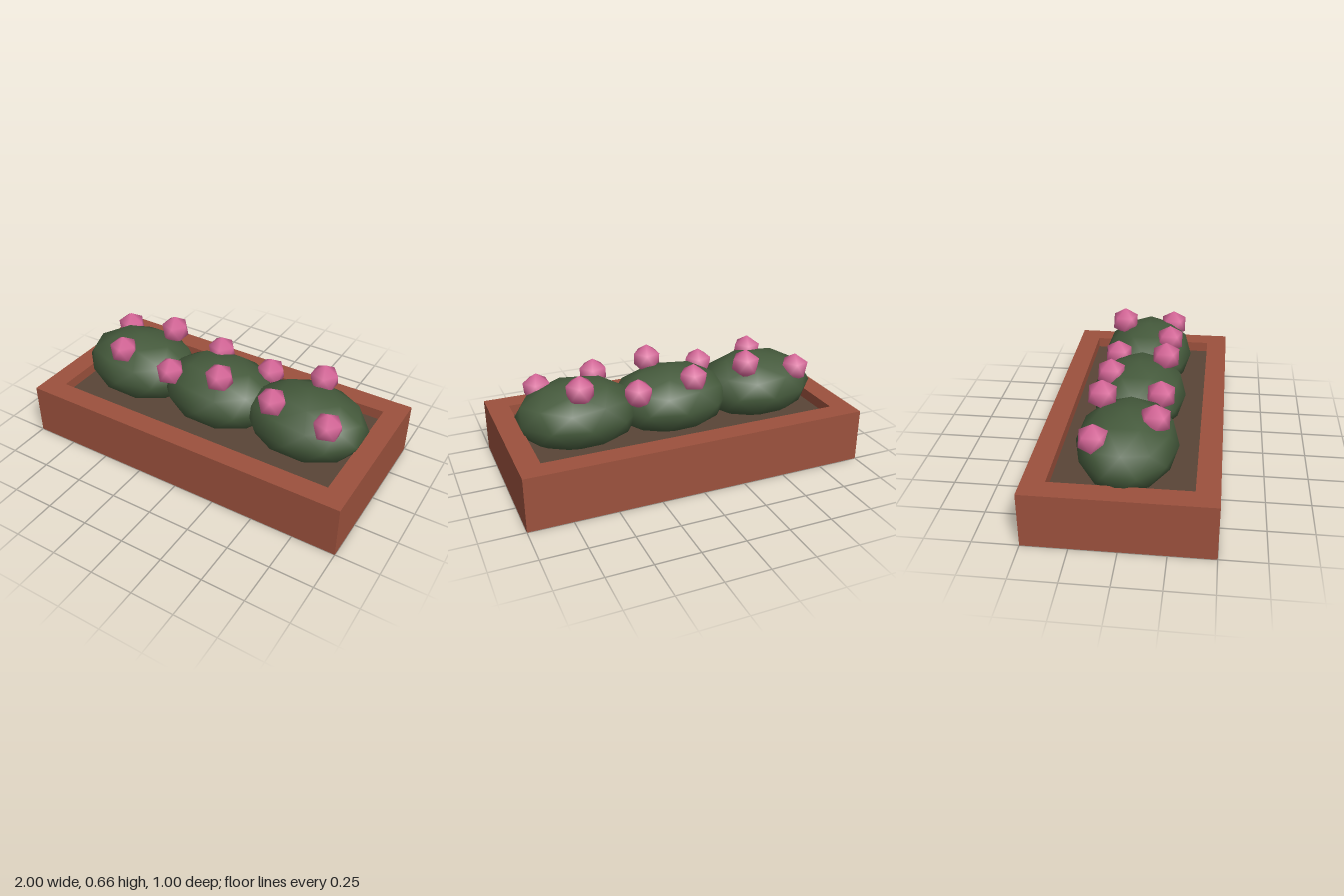
import * as THREE from 'three';

const flat = (name, color) => {
  const m = new THREE.MeshStandardMaterial({ color });
  m.name = name;
  return m;
};

// Smooth icosphere with a vertex at the top and an upper-ring vertex towards +x
function icosphere(detail) {
  const g = new THREE.IcosahedronGeometry(1, detail);
  g.rotateX(-Math.atan((1 + Math.sqrt(5)) / 2));
  g.rotateY(Math.PI / 2);
  g.setAttribute('normal', g.getAttribute('position').clone());
  return g;
}

export function createModel() {
  const model = new THREE.Group();
  model.name = 'flowerPlanter';
  const terracotta = flat('terracotta', 0x9c513d);
  const earth = flat('earth', 0x594537);
  const leaf = flat('leafGreen', 0x455a3c);
  const petal = flat('petalPink', 0xd9679a);

  const add = (name, geometry, material, x, y, z) => {
    const mesh = new THREE.Mesh(geometry, material);
    mesh.name = name;
    mesh.position.set(x, y, z);
    model.add(mesh);
  };

  // Rectangular planter frame, open at the top and bottom
  const rect = (target, w, h) => target
    .moveTo(-w, -h).lineTo(w, -h).lineTo(w, h).lineTo(-w, h).closePath();
  const outline = rect(new THREE.Shape(), 1, 0.5);
  outline.holes.push(rect(new THREE.Path(), 0.875, 0.375));
  const frame = new THREE.ExtrudeGeometry(outline, { depth: 0.3125, bevelEnabled: false });
  frame.rotateX(-Math.PI / 2);
  add('planterFrame', frame, terracotta, 0, 0, 0);

  // Soil filling the frame to just below the rim
  add('soil', new THREE.BoxGeometry(1.75, 0.25, 0.75), earth, 0, 0.125, 0);

  // Three overlapping bushes
  const bush = icosphere(1).scale(0.36, 0.2, 0.275);
  for (const x of [-0.56, 0, 0.56]) add('bush', bush, leaf, x, 0.375, 0);

  // Ten blossoms, alternating back and front, at three repeating heights
  const blossom = icosphere(0).scale(0.0875, 0.0875, 0.0875);
  for (let i = 0; i < 10; i++) {
    add('blossom', blossom, petal, -0.75 + i / 6, 0.5 + (i % 3) * 0.0375, i % 2 ? 0.15 : -0.15);
  }
  return model;
}
